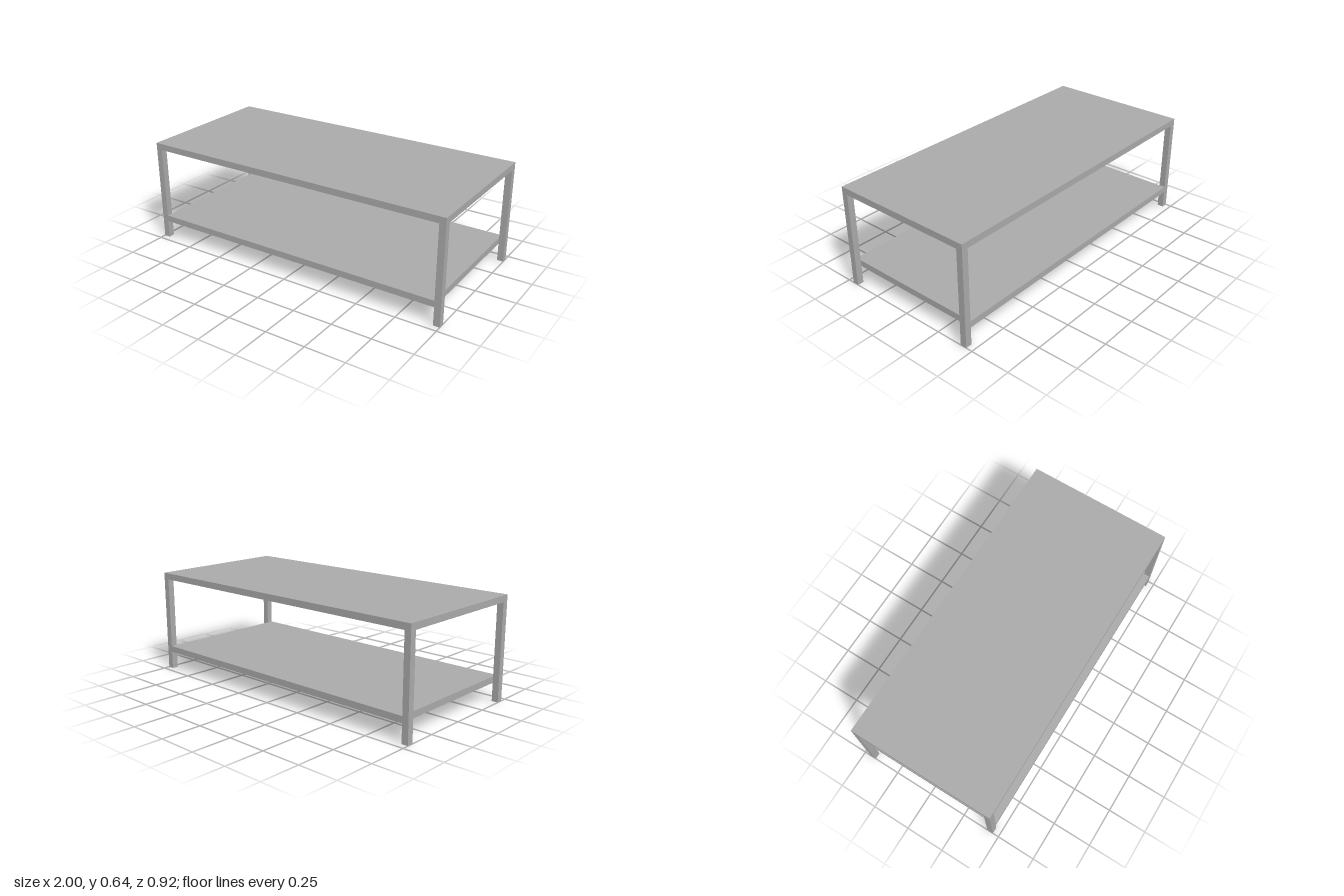
import * as THREE from 'three';

const grey = new THREE.MeshStandardMaterial({ color: 0xaaaaaa });
grey.name = 'plain grey';

const HALF_X = 1, HALF_Z = 0.46, T = 0.04; // half length, half depth, thickness
const TOP = 0.645, SHELF = 0.153;          // upper surfaces of top and shelf

function box(name, w, h, d, x, y, z) {
  const mesh = new THREE.Mesh(new THREE.BoxGeometry(w, h, d), grey);
  mesh.name = name;
  mesh.position.set(x, y, z);
  return mesh;
}

export function createModel() {
  const table = new THREE.Group();
  table.name = 'coffeeTable';

  // Table top over the legs
  table.add(box('tableTop', 2 * HALF_X, T, 2 * HALF_Z, 0, TOP - T / 2, 0));

  // Lower shelf between the left and right leg pairs
  table.add(box('lowerShelf', 2 * (HALF_X - T), T, 2 * HALF_Z, 0, SHELF - T / 2, 0));

  // Four square legs, flush with the corners
  const legHeight = TOP - T;
  for (const [sx, side] of [[1, 'Left'], [-1, 'Right']]) {
    for (const [sz, end] of [[1, 'front'], [-1, 'back']]) {
      table.add(box(`${end}${side}Leg`, T, legHeight, T,
        sx * (HALF_X - T / 2), legHeight / 2, sz * (HALF_Z - T / 2)));
    }
  }
  return table;
}
